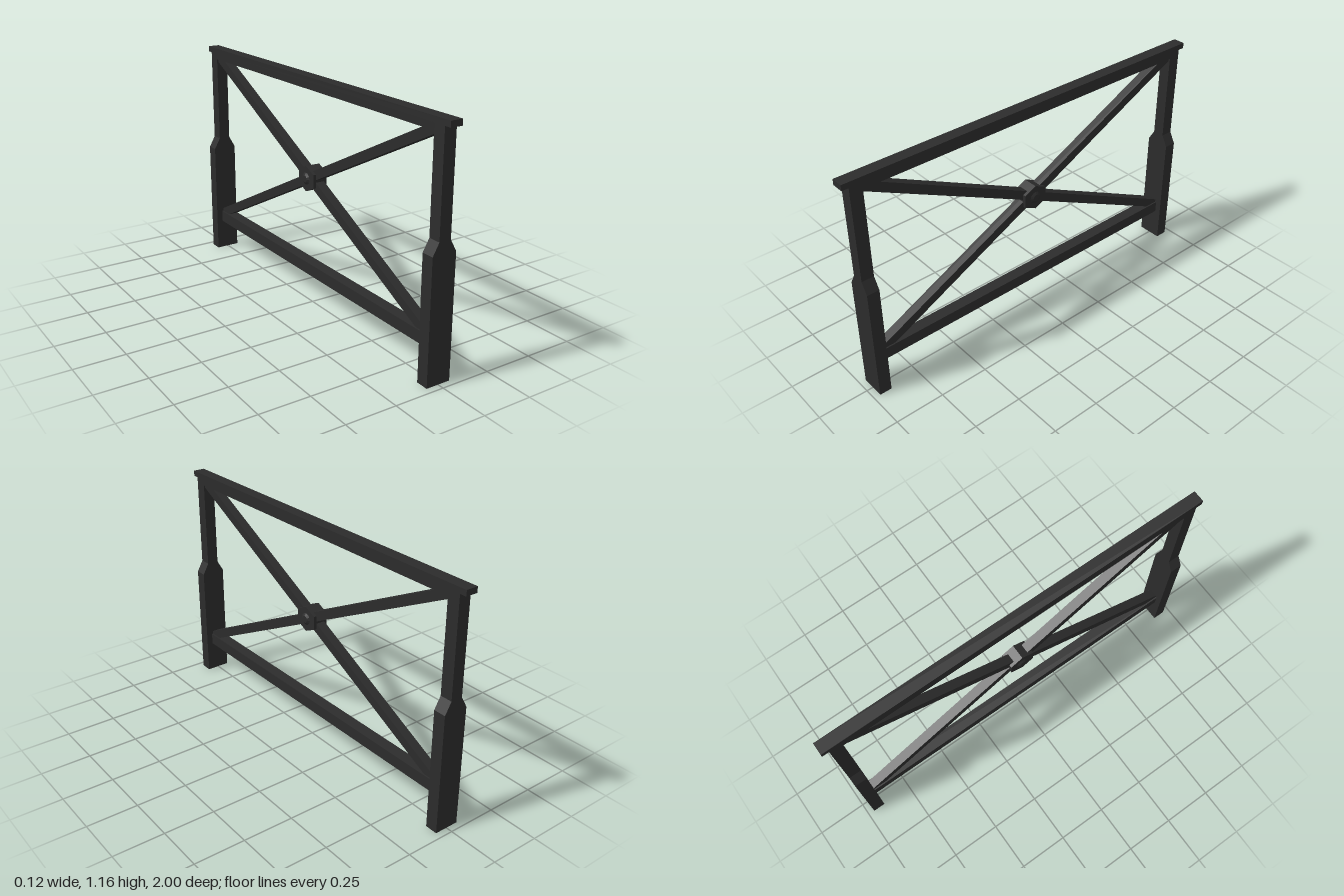
import * as THREE from 'three';

const material = new THREE.MeshStandardMaterial({ color: 0x2c2c2c, flatShading: true });

function add(parent, name, geometry, x = 0, y = 0, z = 0) {
  const mesh = new THREE.Mesh(geometry, material);
  mesh.name = name;
  mesh.position.set(x, y, z);
  parent.add(mesh);
  return mesh;
}

// Prism from a closed outline, centred on its depth
function prism(points, depth) {
  const shape = new THREE.Shape(points.map(([x, y]) => new THREE.Vector2(x, y)));
  const geometry = new THREE.ExtrudeGeometry(shape, { depth, bevelEnabled: false });
  return geometry.translate(0, 0, -depth / 2);
}

export function createModel() {
  const model = new THREE.Group();
  model.name = 'railing';
  const midY = 0.66;

  // Posts: wide foot tapering to a square upper part
  const half = [[0.062, 0], [0.062, 0.595], [0.03, 0.652], [0.03, 1.13]];
  const outline = [...half, ...half.map(([x, y]) => [-x, y]).reverse()];
  for (const side of [1, -1]) {
    add(model, side > 0 ? 'frontPost' : 'backPost', prism(outline, 0.062), 0, 0, side * 0.936);
  }

  // Rails
  add(model, 'handrail', new THREE.BoxGeometry(0.06, 0.028, 2), 0, 1.143, 0);
  add(model, 'upperRail', new THREE.BoxGeometry(0.06, 0.032, 1.82), 0, 1.114, 0);
  add(model, 'lowerRail', new THREE.BoxGeometry(0.06, 0.06, 1.82), 0, 0.19, 0);

  // Crossed braces running corner to corner
  const rise = 0.455, run = 0.915;
  for (const side of [1, -1]) {
    const brace = add(model, side > 0 ? 'fallingBrace' : 'risingBrace',
      new THREE.BoxGeometry(0.046, 0.046, 2 * Math.hypot(rise, run)), 0, midY, 0);
    brace.rotation.x = side * Math.atan2(rise, run);
  }

  // Hexagonal hub with a low round boss on each face
  const hub = new THREE.Group();
  hub.name = 'hub';
  hub.position.y = midY;
  model.add(hub);
  const hex = [[0, -0.064], [0.064, -0.034], [0.064, 0.034], [0, 0.064], [-0.064, 0.034], [-0.064, -0.034]];
  add(hub, 'hubPlate', prism(hex, 0.076)).rotation.y = Math.PI / 2;
  for (const side of [1, -1]) {
    const boss = add(hub, 'hubBoss', new THREE.CylinderGeometry(0.018, 0.034, 0.01, 12), side * 0.041, 0, 0);
    boss.rotation.z = -side * Math.PI / 2;
  }

  return model;
}
